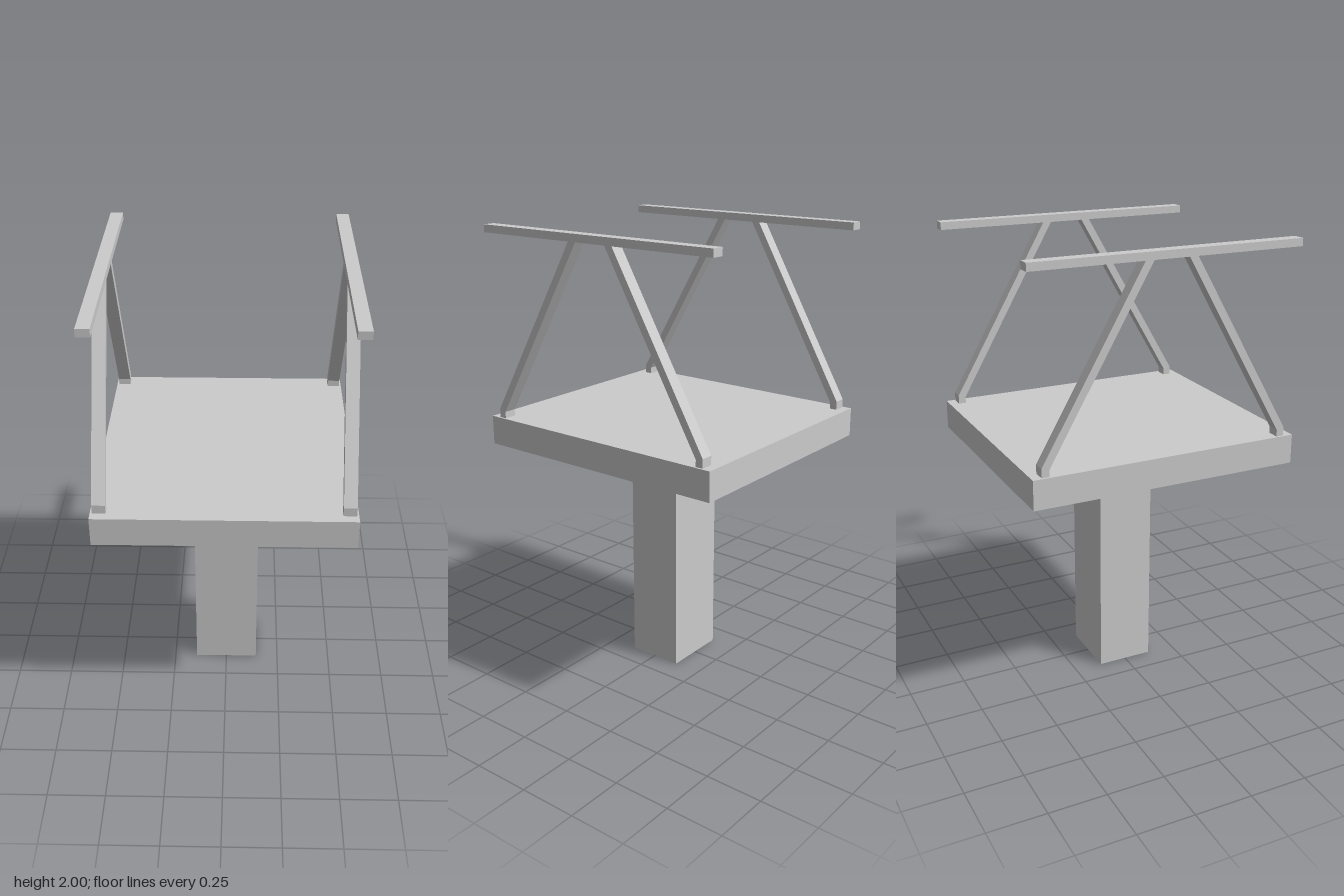
import * as THREE from 'three';

const material = new THREE.MeshStandardMaterial({ color: 0xcccccc, flatShading: true });

function box(name, w, h, d, x, y, z) {
  const mesh = new THREE.Mesh(new THREE.BoxGeometry(w, h, d), material);
  mesh.name = name;
  mesh.position.set(x, y, z);
  return mesh;
}

// Bent strut: profile drawn in (z, y), extruded across x; dir mirrors it front to back
function strutGeometry(dir, width) {
  const profile = [[0.555, 1.165], [0.555, 1.203], [0.114, 1.967], [0.076, 1.967], [0.522, 1.194], [0.522, 1.165]];
  const shape = new THREE.Shape(profile.map(([z, y]) => new THREE.Vector2(z * dir, y)));
  const geometry = new THREE.ExtrudeGeometry(shape, { depth: width, bevelEnabled: false });
  geometry.translate(0, 0, -width / 2);
  geometry.rotateY(-Math.PI / 2);
  return geometry;
}

export function createModel() {
  const model = new THREE.Group();
  model.name = 'pedestalStand';
  const railX = 0.505, railWidth = 0.055;

  // Column and platform
  model.add(box('column', 0.29, 1.037, 0.25, 0, 0.5185, 0));
  model.add(box('platform', 1.083, 0.128, 1.19, 0, 1.101, 0));

  // A rail carried by two leaning struts on each side
  for (const side of [1, -1]) {
    const frame = new THREE.Group();
    frame.name = side > 0 ? 'leftRailFrame' : 'rightRailFrame';
    frame.add(box('rail', railWidth, 0.033, 1.19, 0, 1.9835, 0));
    for (const dir of [1, -1]) {
      const strut = new THREE.Mesh(strutGeometry(dir, railWidth), material);
      strut.name = dir > 0 ? 'frontStrut' : 'backStrut';
      frame.add(strut);
    }
    frame.position.x = side * railX;
    model.add(frame);
  }
  return model;
}
